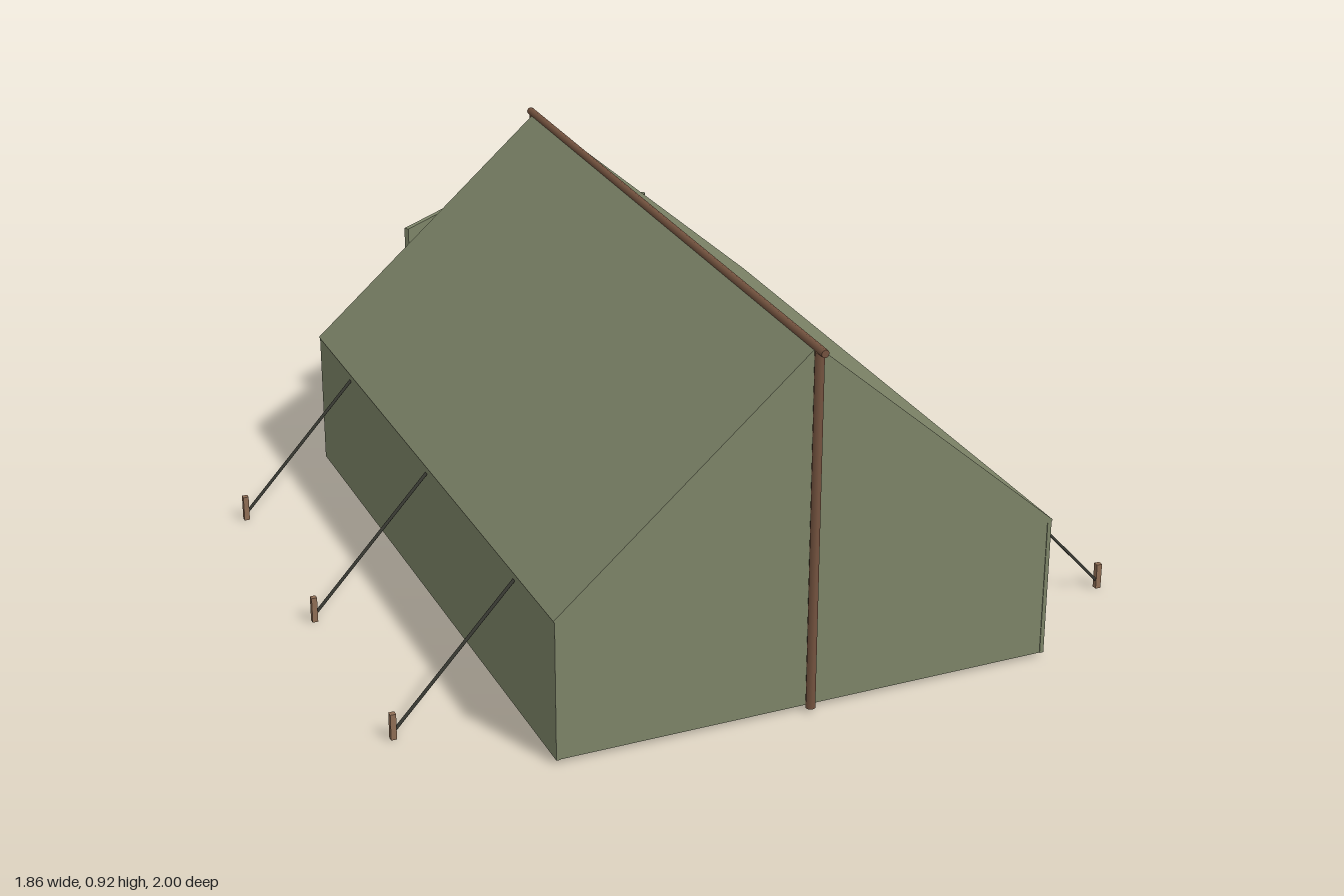
import * as THREE from 'three';

const material = (name, color) => {
  const m = new THREE.MeshStandardMaterial({ color });
  m.name = name;
  return m;
};

export function createModel() {
  const canvas = material('olive canvas', 0x7d8468);
  const pole = material('dark wood', 0x74533f);
  const wood = material('light wood', 0x8f6e55);
  const cord = material('dark cord', 0x3a3b34);

  const tent = new THREE.Group();
  tent.name = 'tent';

  const add = (name, geometry, mat, x = 0, y = 0, z = 0) => {
    const mesh = new THREE.Mesh(geometry, mat);
    mesh.name = name;
    mesh.position.set(x, y, z);
    tent.add(mesh);
    return mesh;
  };
  const box = (name, w, h, d, mat, x, y, z) =>
    add(name, new THREE.BoxGeometry(w, h, d), mat, x, y, z);

  // Main dimensions
  const half = 0.625, base = 0.01, eave = 0.36, ridge = 0.912;
  const front = 0.96, back = -0.755;
  const length = front - back, middle = (front + back) / 2;

  // Closed front gable
  const gable = new THREE.Shape([
    [-half + 0.005, base], [half - 0.005, base], [half - 0.005, eave - 0.005],
    [0, ridge - 0.012], [-half + 0.005, eave - 0.005],
  ].map(([x, y]) => new THREE.Vector2(x, y)));
  add('frontGable', new THREE.ExtrudeGeometry(gable, { depth: 0.01, bevelEnabled: false }),
    canvas, 0, 0, front - 0.012);

  // Low wall across the open back
  box('backLowWall', 1.11, 0.31, 0.01, canvas, 0, 0.165, back + 0.005);

  for (const side of [-1, 1]) {
    // Side wall and sloping roof sheet
    box('sideWall', 0.01, eave - base, length, canvas, side * (half - 0.005), (eave + base) / 2, middle);
    const slope = new THREE.Shape([
      [0, ridge], [side * (half + 0.003), eave + 0.004],
      [side * (half - 0.004), eave - 0.008], [0, ridge - 0.015],
    ].map(([x, y]) => new THREE.Vector2(x, y)));
    add('roof', new THREE.ExtrudeGeometry(slope, { depth: length, bevelEnabled: false }),
      canvas, 0, 0, back);

    // Door flap swung open behind the tent
    const flap = box('doorFlap', 0.305, 0.58, 0.013, canvas, side * 0.225, 0.32, -0.908);
    flap.rotation.y = -side * Math.atan2(0.175, 0.25);

    // Guy ropes with stakes
    for (const z of [-0.49, 0.11, 0.71]) {
      const a = new THREE.Vector3(side * half, 0.345, z);
      const b = new THREE.Vector3(side * 0.922, 0.02, z);
      add('guyRope', new THREE.TubeGeometry(new THREE.LineCurve3(a, b), 1, 0.004, 6), cord);
      box('stake', 0.014, 0.066, 0.014, wood, side * 0.925, 0.033, z);
    }
  }

  // Ridge pole and upright posts
  const ridgePole = add('ridgePole', new THREE.CylinderGeometry(0.01, 0.01, 1.783, 8), pole, 0, 0.91, 0.1085);
  ridgePole.rotation.x = Math.PI / 2;
  for (const z of [front + 0.012, back - 0.005]) {
    add('post', new THREE.CylinderGeometry(0.012, 0.012, 0.895, 8), pole, 0, 0.4575, z);
  }

  // Bed and crate inside
  box('bed', 0.29, 0.13, 0.67, canvas, -0.335, 0.1, 0.2);
  box('crate', 0.18, 0.15, 0.18, wood, 0.31, 0.095, -0.1);

  return tent;
}
